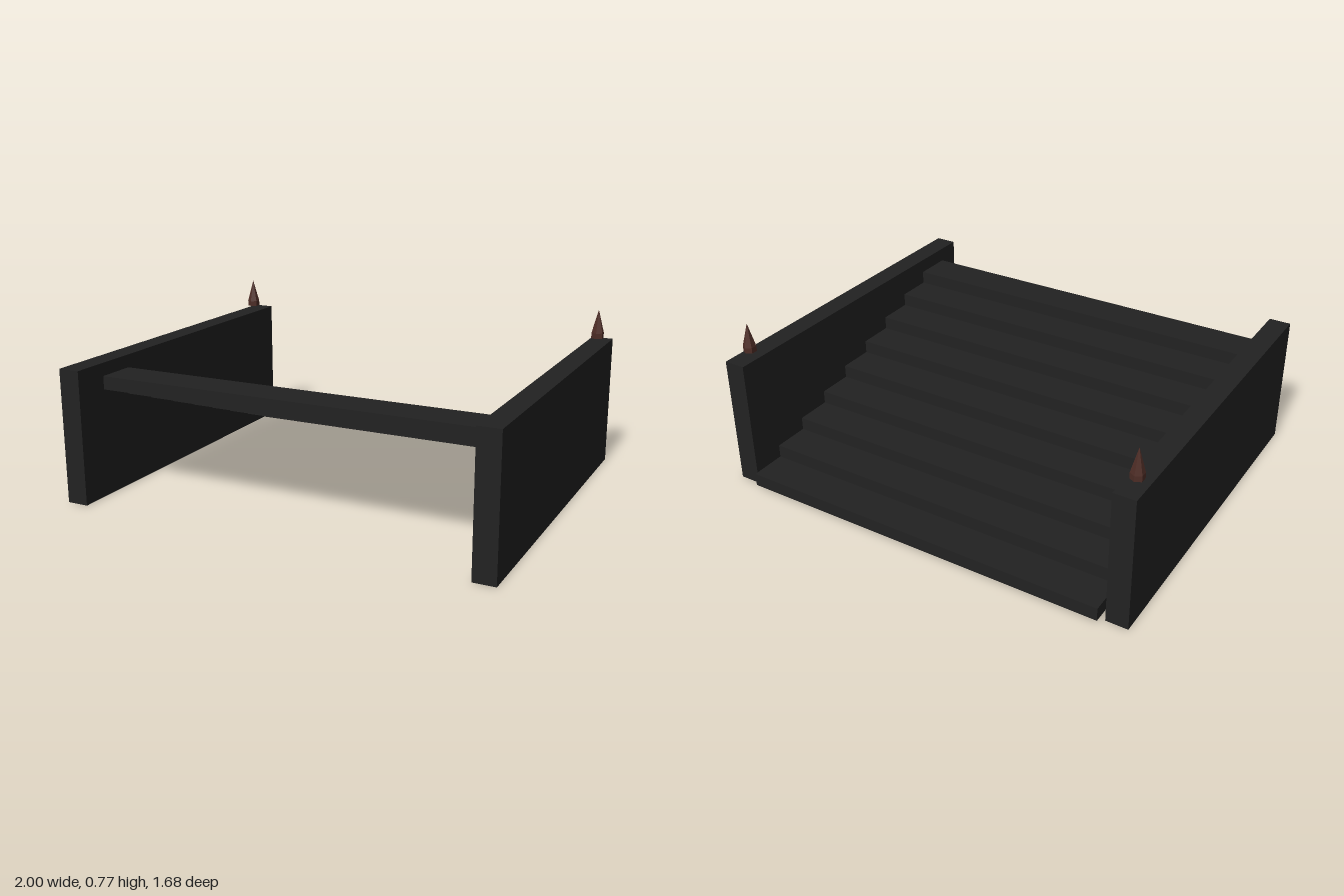
import * as THREE from 'three';

export function createModel() {
  const model = new THREE.Group();
  const stone = new THREE.MeshStandardMaterial({ color: 0x222222 });
  stone.name = 'dark stone';
  const rust = new THREE.MeshStandardMaterial({ color: 0x4e2d26, flatShading: true });
  rust.name = 'rusty brown';

  function add(parent, name, geometry, material, x, y, z) {
    const mesh = new THREE.Mesh(geometry, material);
    mesh.name = name;
    mesh.position.set(x, y, z);
    parent.add(mesh);
    return mesh;
  }

  // Staircase: nine slabs climbing from the back up to the front
  const stairs = new THREE.Group();
  stairs.name = 'stairs';
  model.add(stairs);
  const count = 9, rise = 0.0606, run = 0.1695, depth = 0.178;
  const slab = new THREE.BoxGeometry(1.76, rise, depth);
  for (let i = 0; i < count; i++) {
    add(stairs, 'step' + (i + 1), slab, stone, 0, 0.015 + rise * (i + 0.5), -0.838 + run * i + depth / 2);
  }

  // Side walls, each with a spike hovering above its back end
  const wall = new THREE.BoxGeometry(0.1, 0.612, 1.643);
  const collar = new THREE.CylinderGeometry(0.03, 0.03, 0.026, 6);
  const point = new THREE.ConeGeometry(0.03, 0.11, 6);
  for (const [side, s] of [['left', 1], ['right', -1]]) {
    add(model, side + 'Wall', wall, stone, s * 0.95, 0.306, 0.0165);
    const spike = new THREE.Group();
    spike.name = side + 'Spike';
    spike.position.set(s * 0.95, 0.632, -0.7);
    add(spike, 'spikeCollar', collar, rust, 0, 0.013, 0);
    add(spike, 'spikePoint', point, rust, 0, 0.081, 0);
    model.add(spike);
  }
  return model;
}
